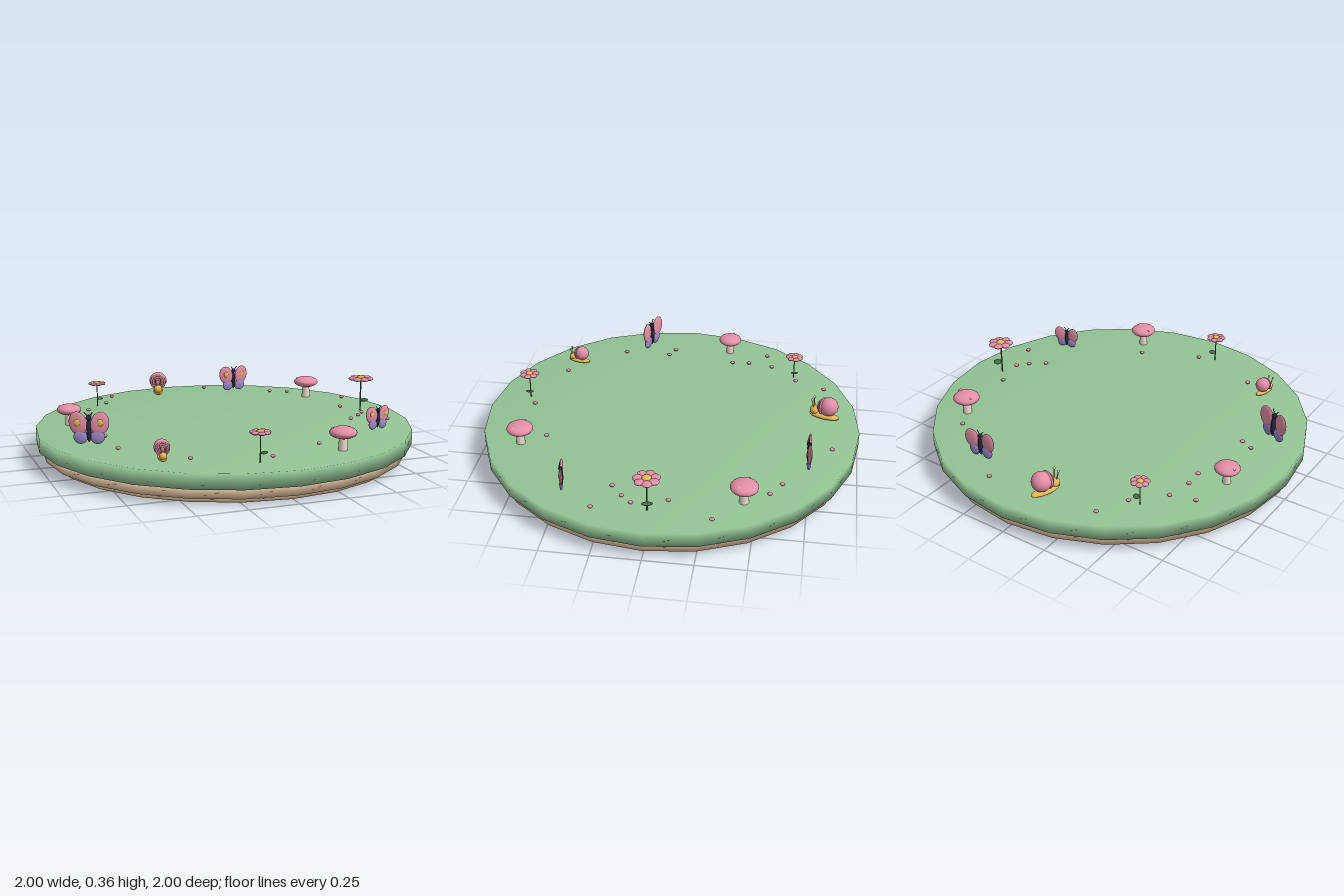
import * as THREE from 'three';
import { mergeVertices } from 'three/addons/utils/BufferGeometryUtils.js';

const mat = (color) => new THREE.MeshStandardMaterial({ color });
const M = {
  grass: mat(0x93c495), earth: mat(0xe2c3a2), pink: mat(0xe58fa6), pale: mat(0xf2c4cc),
  purple: mat(0x9a8ac8), yellow: mat(0xe9b957), dark: mat(0x25253a), stem: mat(0x3f6b45), cream: mat(0xecd8c8),
};
const ball = new THREE.SphereGeometry(1, 20, 14);
const TOP = 0.16;

function add(parent, name, geometry, material, x = 0, y = 0, z = 0) {
  const mesh = new THREE.Mesh(geometry, material);
  mesh.name = name;
  mesh.position.set(x, y, z);
  parent.add(mesh);
  return mesh;
}

function blob(parent, name, material, p, s) {
  const mesh = add(parent, name, ball, material, ...p);
  mesh.scale.set(...s);
  return mesh;
}

// thin rod between two points
function rod(parent, name, material, a, b, r) {
  const curve = new THREE.LineCurve3(new THREE.Vector3(...a), new THREE.Vector3(...b));
  return add(parent, name, new THREE.TubeGeometry(curve, 1, r, 8), material);
}

// disc whose rim normals are blended into its flat faces
function disc(parent, name, material, r, y0, y1) {
  const g = new THREE.CylinderGeometry(r, r, y1 - y0, 24);
  g.deleteAttribute('uv');
  g.deleteAttribute('normal');
  const smooth = mergeVertices(g, 1e-4);
  smooth.computeVertexNormals();
  return add(parent, name, smooth, material, 0, (y0 + y1) / 2, 0);
}

function item(root, name, x, z, scale, yaw = 0) {
  const g = new THREE.Group();
  g.name = name;
  g.position.set(x, TOP, z);
  g.scale.setScalar(scale);
  g.rotation.y = yaw;
  root.add(g);
  return g;
}

function flower(g, petals, height) {
  rod(g, 'flowerStem', M.stem, [0, 0, 0], [0, height, 0], 0.004);
  const leaf = blob(g, 'leaf', M.stem, [0.026, 0.057, 0], [0.022, 0.005, 0.028]);
  leaf.rotation.z = 0.2;
  for (let i = 0; i < petals; i++) {
    const a = (i / petals) * Math.PI * 2;
    blob(g, 'petal', M.pink, [Math.cos(a) * 0.044, height, Math.sin(a) * 0.044], [0.025, 0.011, 0.025]);
  }
  blob(g, 'flowerCentre', M.yellow, [0, height + 0.004, 0], [0.024, 0.014, 0.024]);
}

function mushroom(g) {
  add(g, 'mushroomStem', new THREE.CylinderGeometry(0.019, 0.024, 0.08, 16), M.cream, 0, 0.04, 0);
  blob(g, 'mushroomCap', M.pink, [0, 0.09, 0], [0.07, 0.031, 0.07]);
  for (const [x, z] of [[0.04, 0.022], [-0.05, -0.02]]) {
    blob(g, 'capSpot', M.pale, [x, 0.109, z], [0.006, 0.005, 0.006]);
  }
}

function butterfly(g) {
  blob(g, 'body', M.dark, [0, 0.08, 0], [0.013, 0.062, 0.014]);
  blob(g, 'head', M.dark, [0, 0.142, 0.003], [0.014, 0.014, 0.014]);
  for (const s of [-1, 1]) {
    const upper = blob(g, 'upperWing', M.pink, [s * 0.054, 0.112, 0], [0.046, 0.06, 0.012]);
    upper.rotation.set(0, s * 0.12, -s * 0.2);
    blob(g, 'lowerWing', M.purple, [s * 0.042, 0.045, 0.001], [0.036, 0.036, 0.012]);
    blob(g, 'wingSpot', M.yellow, [s * 0.057, 0.118, 0.01], [0.016, 0.018, 0.006]);
    rod(g, 'antenna', M.dark, [0, 0.145, 0.003], [s * 0.022, 0.172, 0.008], 0.0025);
  }
}

function snail(g) {
  blob(g, 'foot', M.yellow, [0, 0.021, 0], [0.03, 0.017, 0.085]);
  blob(g, 'shell', M.pink, [0, 0.083, -0.022], [0.052, 0.052, 0.052]);
  // coil rings stepping forward and inward
  for (let i = 0; i < 3; i++) {
    add(g, 'shellRing', new THREE.TorusGeometry(0.041 - i * 0.011, 0.0065, 8, 24), M.pink, 0, 0.08, 0.014 + i * 0.009);
  }
  blob(g, 'head', M.yellow, [0, 0.045, 0.058], [0.025, 0.025, 0.025]);
  for (const s of [-1, 1]) {
    rod(g, 'eyeStalk', M.yellow, [s * 0.009, 0.06, 0.06], [s * 0.018, 0.112, 0.068], 0.003);
    blob(g, 'eyeTip', M.cream, [s * 0.018, 0.114, 0.068], [0.007, 0.007, 0.007]);
  }
}

export function createModel() {
  const root = new THREE.Group();
  root.name = 'gardenDisc';

  // stepped round base
  disc(root, 'grassTop', M.grass, 1, 0.083, TOP);
  disc(root, 'earthLayer', M.earth, 0.967, 0.03, 0.084);
  disc(root, 'earthFoot', M.earth, 0.92, 0, 0.031);

  // ring of garden figures
  flower(item(root, 'largeFlower', 0.82, 0, 1, 0.2), 7, 0.183);
  flower(item(root, 'frontFlower', -0.12, 0.81, 0.78, 0), 7, 0.185);
  flower(item(root, 'backFlower', -0.54, -0.625, 0.72, 0.25), 7, 0.183);

  mushroom(item(root, 'mushroom', 0.69, -0.45, 1));
  mushroom(item(root, 'mushroom', 0.34, 0.745, 0.98));
  mushroom(item(root, 'mushroom', -0.79, -0.235, 0.92));

  butterfly(item(root, 'butterfly', -0.795, 0.235, 1, -0.4));
  butterfly(item(root, 'butterfly', 0.69, 0.445, 0.75, 0.2));
  butterfly(item(root, 'butterfly', 0.34, -0.745, 0.9, 0.05));

  snail(item(root, 'snail', -0.12, -0.81, 0.98, -0.3));
  snail(item(root, 'snail', -0.54, 0.625, 0.75, -0.2));

  // scattered pebbles
  const pebbles = [
    [-0.41, -0.8], [0.19, -0.86], [-0.485, -0.64], [-0.75, -0.46], [-0.625, -0.495], [-0.65, -0.36],
    [-0.645, -0.265], [0.53, -0.625], [0.62, -0.57], [0.86, -0.315], [0.74, -0.09], [0.785, 0.085],
    [0.735, 0.14], [0.66, 0.2], [0.845, 0.27], [-0.75, 0.085], [-0.685, 0.115], [-0.685, 0.37],
    [-0.415, 0.665], [-0.037, 0.765], [0.27, 0.625],
  ];
  for (const [x, z] of pebbles) blob(root, 'pebble', M.pink, [x, TOP + 0.012, z], [0.012, 0.008, 0.012]);

  return root;
}
